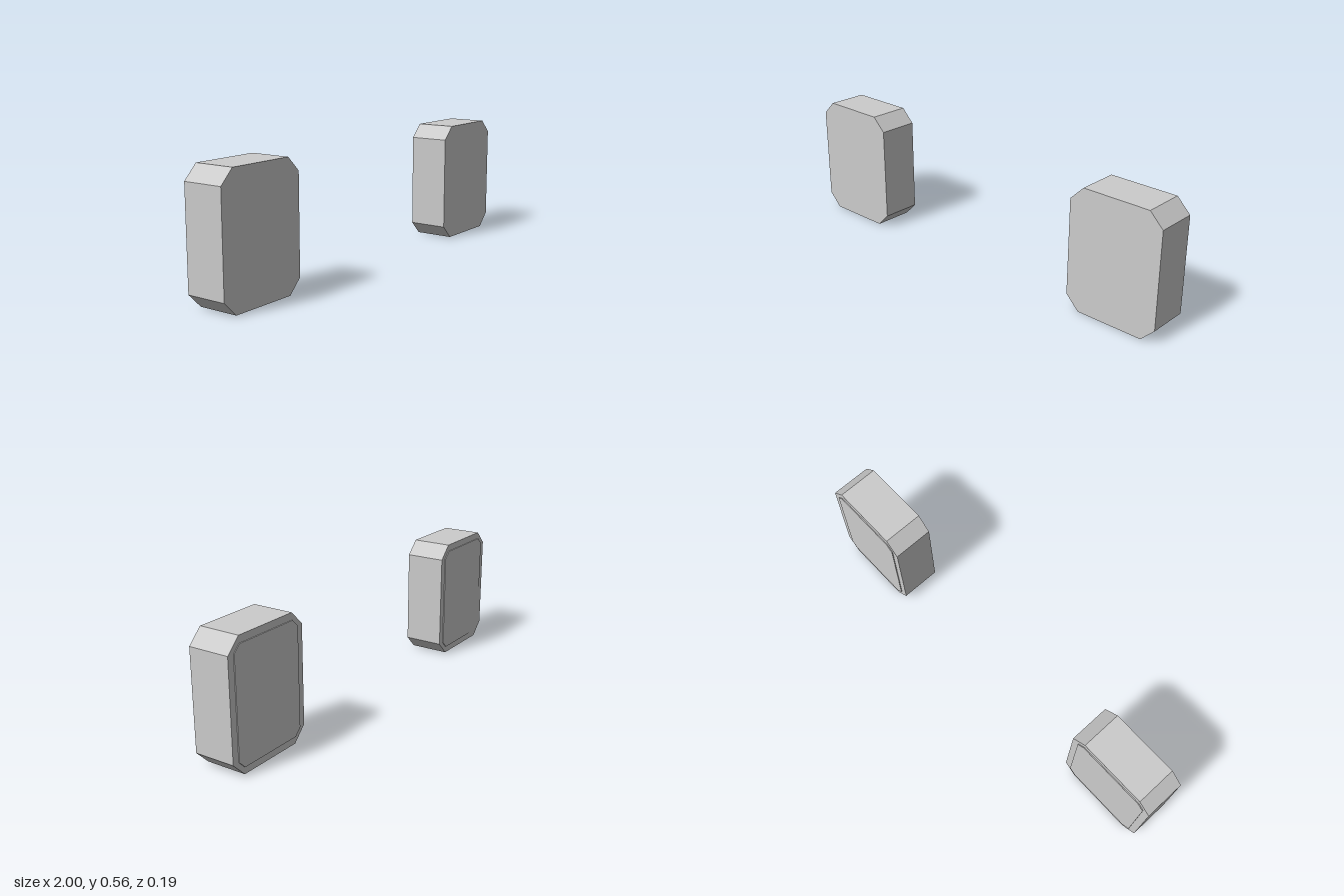
import * as THREE from 'three';

// Box with its four upright corners cut at 45 degrees, from zBack to zFront
function chamferedSlab(name, width, height, cut, zBack, zFront, material) {
  const w = width / 2, h = height / 2;
  const shape = new THREE.Shape([
    [w - cut, -h], [w, -h + cut], [w, h - cut], [w - cut, h],
    [-w + cut, h], [-w, h - cut], [-w, -h + cut], [-w + cut, -h],
  ].map(([x, y]) => new THREE.Vector2(x, y)));
  const geometry = new THREE.ExtrudeGeometry(shape, { depth: zFront - zBack, bevelEnabled: false });
  geometry.translate(0, 0, zBack);
  const mesh = new THREE.Mesh(geometry, material);
  mesh.name = name;
  return mesh;
}

export function createModel() {
  const model = new THREE.Group();
  model.name = 'pairOfBlocks';
  const material = new THREE.MeshStandardMaterial({ color: 0xcccccc, flatShading: true });

  // Two identical blocks, one on each side
  for (const [side, sign] of [['left', 1], ['right', -1]]) {
    const block = new THREE.Group();
    block.name = side + 'Block';
    block.position.set(sign * 0.78125, 0.28125, 0);
    block.add(
      chamferedSlab('body', 0.4375, 0.5625, 0.0625, -0.0915, 0.0955, material),
      // Thin raised plate on the back
      chamferedSlab('backPlate', 0.375, 0.5, 0.03125, -0.0955, -0.0915, material),
    );
    model.add(block);
  }
  return model;
}
